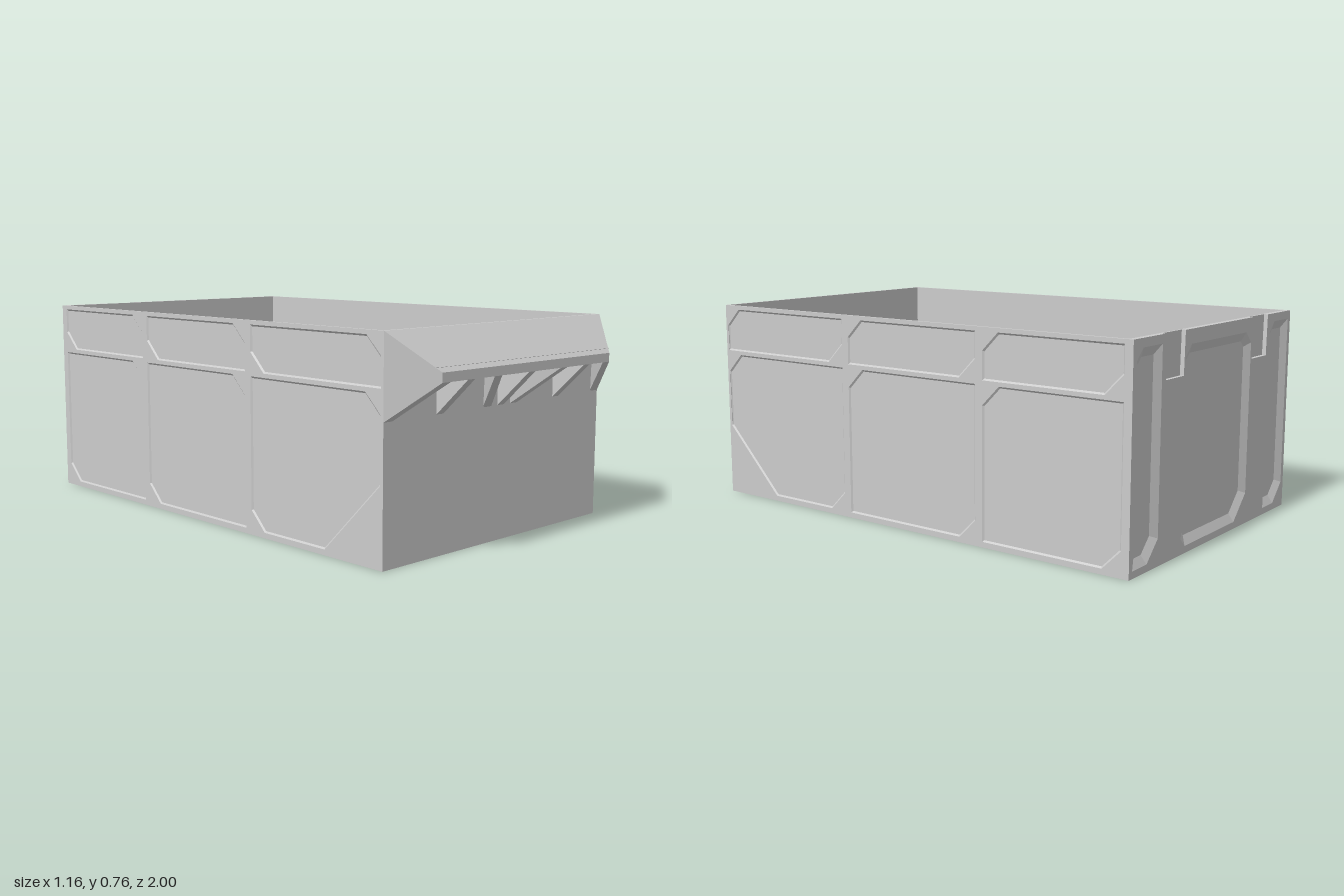
import * as THREE from 'three';
import { ConvexGeometry } from 'three/addons/geometries/ConvexGeometry.js';

const W = 0.58, H = 0.76, FRONT = 0.87, BACK = -1;
const mat = new THREE.MeshStandardMaterial({ color: 0xcccccc, flatShading: true });

function add(parent, name, geo, x = 0, y = 0, z = 0) {
  const m = new THREE.Mesh(geo, mat);
  m.name = name;
  m.position.set(x, y, z);
  parent.add(m);
  return m;
}

// Rectangle with chamfered corners; c = [bottomLeft, bottomRight, topRight, topLeft]
function outline({ u0, u1, v0, v1, c }, inset = 0) {
  const a = u0 + inset, b = u1 - inset, d = v0 + inset, e = v1 - inset;
  const k = c.map((s) => (s ? s - inset * 0.586 : 0));
  const corners = [
    [[a, d + k[0]], [a + k[0], d]],
    [[b - k[1], d], [b, d + k[1]]],
    [[b, e - k[2]], [b - k[2], e]],
    [[a + k[3], e], [a, e - k[3]]],
  ];
  return corners.flatMap((p, i) => (k[i] ? p : [p[0]])).map((p) => new THREE.Vector2(...p));
}

// Sloped border leading from a panel's edge down to its floor
function bevelRing(panel, width, depth) {
  const o = outline(panel), n = outline(panel, width), pos = [];
  o.forEach((p, i) => {
    const j = (i + 1) % o.length, q = o[j], r = n[j], s = n[i];
    pos.push(p.x, p.y, 0, q.x, q.y, 0, r.x, r.y, -depth);
    pos.push(p.x, p.y, 0, r.x, r.y, -depth, s.x, s.y, -depth);
  });
  const g = new THREE.BufferGeometry();
  g.setAttribute('position', new THREE.Float32BufferAttribute(pos, 3));
  g.computeVertexNormals();
  return g;
}

// Wall facing local +z: backing plate, frame with panel openings, bevels
function panelWall(name, contour, panels, depth, thickness, bevel) {
  const g = new THREE.Group();
  g.name = name;
  const shape = new THREE.Shape(contour.map((p) => new THREE.Vector2(...p)));
  panels.forEach((p) => {
    shape.holes.push(new THREE.Path(outline(p).reverse()));
    add(g, 'panelBevel', bevelRing(p, bevel, depth));
  });
  add(g, 'frame', new THREE.ExtrudeGeometry(shape, { depth, bevelEnabled: false }), 0, 0, -depth);
  const us = contour.map((p) => p[0]), u0 = Math.min(...us), u1 = Math.max(...us);
  const t = thickness - depth;
  add(g, 'backingPlate', new THREE.BoxGeometry(u1 - u0, H, t), (u0 + u1) / 2, H / 2, -depth - t / 2);
  return g;
}

const mirrorPanel = ({ u0, u1, v0, v1, c }) =>
  ({ u0: -u1, u1: -u0, v0, v1, c: [c[1], c[0], c[3], c[2]] });

const hull = (pts) => new ConvexGeometry(pts.map((p) => new THREE.Vector3(...p)));

export function createModel() {
  const root = new THREE.Group();
  root.name = 'storageBin';

  // Floor and plain front wall
  add(root, 'floor', new THREE.BoxGeometry(2 * W - 0.002, 0.015, FRONT - BACK - 0.004), 0, 0.0075, (FRONT + BACK) / 2);
  add(root, 'frontWall', new THREE.BoxGeometry(2 * W, H, 0.012), 0, H / 2, FRONT - 0.006);

  // Side walls: three bays, each with a tall panel and a short one above
  const side = [];
  [[-0.86, -0.23], [-0.2, 0.39], [0.42, 0.97]].forEach(([u0, u1], i) => {
    side.push({ u0, u1, v0: 0.02, v1: 0.565, c: [i ? 0 : 0.255, 0.07, 0, 0.07] });
    side.push({ u0, u1, v0: 0.58, v1: 0.745, c: [0, 0.07, 0, 0.065] });
  });
  const sideEdge = [[-FRONT, 0], [0.985, 0], [0.985, H], [-FRONT, H]];
  const right = panelWall('rightWall', sideEdge, side, 0.005, 0.012, 0.006);
  right.rotation.y = Math.PI / 2;
  right.position.x = W;
  const leftEdge = sideEdge.map(([u, v]) => [-u, v]).reverse();
  const left = panelWall('leftWall', leftEdge, side.map(mirrorPanel), 0.005, 0.012, 0.006);
  left.rotation.y = -Math.PI / 2;
  left.position.x = -W;

  // Back wall: three bevelled panels and two hanging notches in the rim
  const back = [
    { u0: -0.56, u1: -0.4, v0: 0.025, v1: 0.73, c: [0, 0.07, 0, 0.04] },
    { u0: -0.245, u1: 0.245, v0: 0.025, v1: 0.71, c: [0.03, 0.09, 0.04, 0.04] },
    { u0: 0.4, u1: 0.56, v0: 0.025, v1: 0.73, c: [0, 0.07, 0, 0.04] },
  ];
  const backEdge = [[-W, 0], [W, 0], [W, H]];
  [0.315, -0.315].forEach((u) =>
    backEdge.push([u + 0.065, H], [u + 0.06, 0.61], [u - 0.06, 0.61], [u - 0.065, H]));
  backEdge.push([-W, H]);
  const rear = panelWall('backWall', backEdge, back, 0.015, 0.022, 0.032);
  rear.rotation.y = Math.PI;
  rear.position.z = BACK;
  root.add(right, left, rear);

  // Sloping front pull with mitred ends
  const tipX = 0.455, under = 0.6, pull = [];
  [-1, 1].forEach((s) => pull.push(
    [s * W, H, FRONT], [s * W, under, FRONT], [s * tipX, 0.632, 1], [s * tipX, under, 1]));
  add(root, 'frontPull', hull(pull));
  add(root, 'pullRidge', new THREE.BoxGeometry(0.94, 0.008, 0.008), 0, 0.647, 0.981).rotation.x = Math.PI / 4;

  // Ribs under the pull, given as x at the wall and x at the tip
  const rib = (name, xWall, xTip, w) => {
    const pts = [];
    [-w / 2, w / 2].forEach((o) => pts.push(
      [xWall + o, 0.475, FRONT], [xWall + o, under, FRONT],
      [xWall + o, 0.475, FRONT - 0.005], [xTip + o, under, 1]));
    add(root, name, hull(pts));
  };
  rib('centreRib', 0, 0, 0.035);
  [-1, 1].forEach((s) => {
    rib('straightRib', s * 0.315, s * 0.315, 0.035);
    rib('slantedRib', s * 0.07, s * 0.18, 0.038);
    rib('endRib', s * (W - 0.02), s * (tipX - 0.02), 0.04);
  });
  return root;
}
